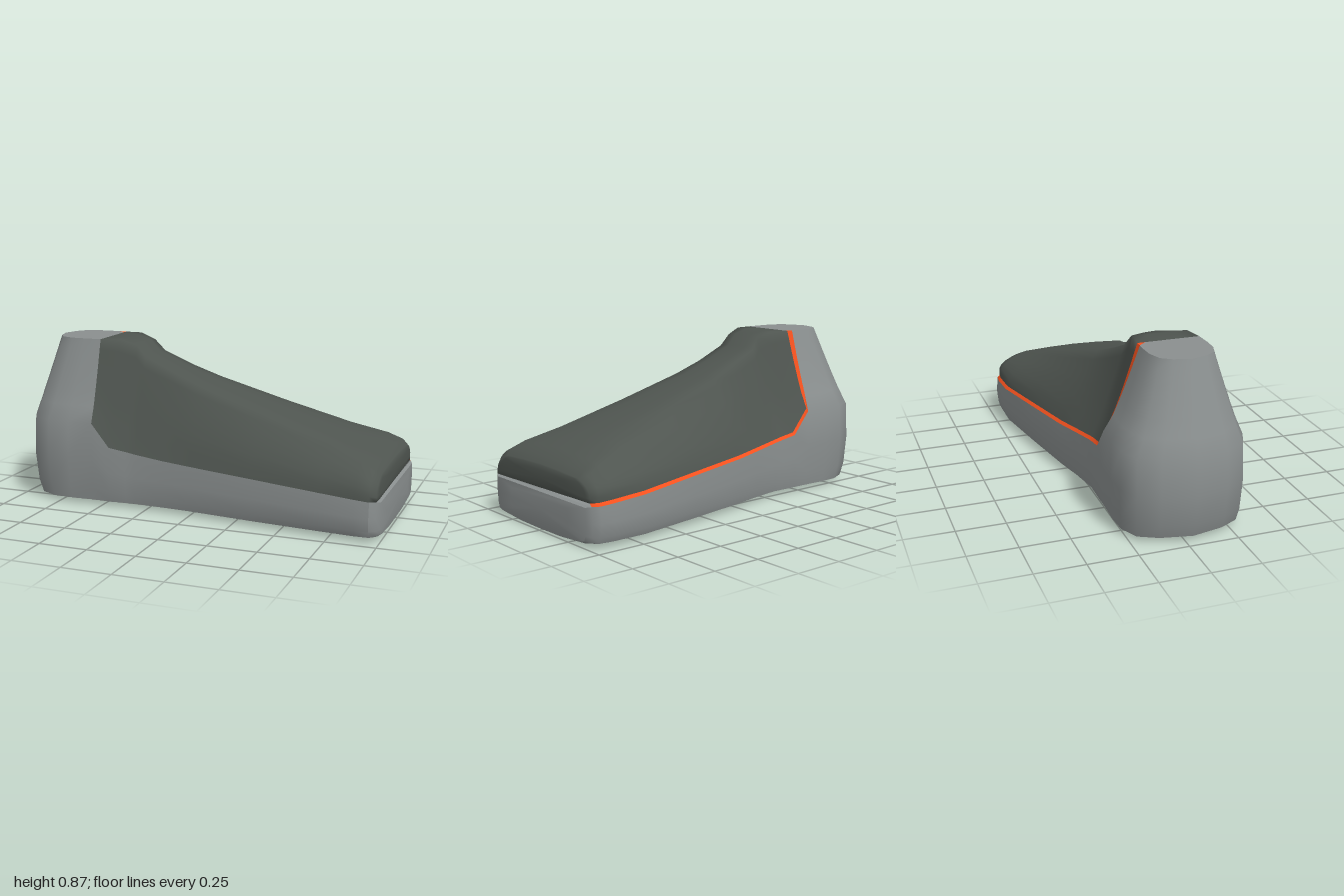
import * as THREE from 'three';
import { mergeGeometries, mergeVertices, toCreasedNormals } from 'three/addons/utils/BufferGeometryUtils.js';

const lerp = THREE.MathUtils.lerp;

// Cross-sections from ankle to toe:
// x, seam height, top height, seam z (+ and -), top edge z (+ and -), roundness
const STATIONS = [
  [-0.55, 0.44, 0.865, 0.345, -0.27, 0.215, -0.10, 0.85],
  [-0.45, 0.32, 0.867, 0.35, -0.27, 0.195, -0.085, 0.85],
  [-0.36, 0.305, 0.85, 0.343, -0.268, 0.17, -0.06, 0.85],
  [-0.31, 0.295, 0.79, 0.34, -0.267, 0.18, -0.08, 0.9],
  [-0.15, 0.277, 0.72, 0.35, -0.295, 0.175, -0.09, 1],
  [0, 0.265, 0.66, 0.362, -0.33, 0.19, -0.12, 1.2],
  [0.35, 0.245, 0.55, 0.405, -0.395, 0.22, -0.16, 1.5],
  [0.7, 0.222, 0.445, 0.44, -0.455, 0.26, -0.21, 1.9],
  [0.88, 0.21, 0.39, 0.455, -0.455, 0.31, -0.28, 2.6],
  [0.95, 0.204, 0.355, 0.453, -0.445, 0.33, -0.31, 3],
  [0.978, 0.2, 0.325, 0.425, -0.415, 0.32, -0.31, 3],
];
const LEVELS = [0, 0.2, 0.38, 0.55, 0.7, 0.88, 1];               // seam to top
const SOLE = [[1, 1], [0.54, 1.015], [0.17, 1.0], [0, 0.97]];    // height fraction, width factor
const UNDER = [[0.018, 0.88], [0.004, 0.42], [0.002, 0]];        // height, width factor
const SOLE_EDGE = 0.027;

// Surface through rows of equally many points
function grid(rows) {
  const n = rows[0].length, index = [];
  for (let i = 0; i < rows.length - 1; i++)
    for (let j = 0; j < n - 1; j++) {
      const a = i * n + j, b = a + n;
      index.push(a, b, a + 1, a + 1, b, b + 1);
    }
  const g = new THREE.BufferGeometry();
  g.setAttribute('position', new THREE.Float32BufferAttribute(rows.flat(2), 3));
  g.setIndex(index);
  return g;
}

// Softly inset end cap at the toe
function toeCap(ring, cx, cy) {
  const loop = [...ring, ring[0]];
  const scaled = (s, x) => loop.map(([, y, z]) => [x, lerp(cy, y, s), z * s]);
  return grid([loop, scaled(0.93, cx - 0.006), scaled(0.6, cx), scaled(0, cx)]);
}

const sideZ = (s, t, front) => lerp(s[front ? 3 : 4], s[front ? 5 : 6], Math.pow(t, s[7]));

// Upper arch of a section, from the +z seam over the top to the -z seam
function upperRing(s) {
  const [x, seam, top] = s;
  const crown = x > -0.4 ? 0.012 : 0;
  const y = t => lerp(seam, top - crown, t);
  const front = LEVELS.map(t => [x, y(t), sideZ(s, t, true)]);
  const back = LEVELS.map(t => [x, y(t) + 0.014 * (1 - t), sideZ(s, t, false) + 0.014 * (1 - t)]);
  const mid = [0.25, 0.5, 0.75].map(k => [x, top - crown * Math.abs(2 * k - 1) * 0.6, lerp(s[5], s[6], k)]);
  return [...front, ...mid, ...back.reverse()];
}

// Lower half of a section, from the -z seam under the foot to the +z seam
function soleRing(s) {
  const [x, seam, , zf, zb] = s, c = (zf + zb) / 2;
  const side = z => [
    ...SOLE.map(([f, k]) => [x, lerp(SOLE_EDGE, seam, f), c + (z - c) * k]),
    ...UNDER.map(([y, k]) => [x, y, c + (z - c) * k]),
  ];
  return [...side(zb), ...side(zf).reverse().slice(1)];
}

// Heel: stacked U-shaped outlines, matching the first section
function heelRows() {
  const s = STATIONS[0], [x0, seam, top] = s;
  const half = [[0, 1], [0.3, 1.02], [0.57, 1.0], [0.8, 0.85], [0.92, 0.53], [1, 0]];
  const outline = [...half, ...half.slice(0, -1).reverse().map(([u, v]) => [u, -v])];
  const row = (y, zf, zb, len, gap = 0) => outline.map(([u, v], j) => [
    x0 - len * u - (j === outline.length - 1 ? gap : 0), y, (zf + zb) / 2 + v * (zf - zb) / 2]);
  const c = (s[3] + s[4]) / 2, w = (s[3] - s[4]) / 2;
  const rows = [...UNDER].reverse().map(([y, k]) => row(y, c + w * k, c - w * k, 0.40 * k));
  const lens = [0.44, 0.45, 0.43, 0.405];
  for (let i = 3; i > 0; i--) {
    const [f, k] = SOLE[i];
    rows.push(row(lerp(SOLE_EDGE, seam, f), c + w * k, c - w * k, lens[i]));
  }
  for (const t of LEVELS)
    rows.push(row(lerp(seam, top, t), sideZ(s, t, true), sideZ(s, t, false), 0.44 - 0.15 * t, t ? 0.012 + 0.024 * t : 0));
  rows.push(outline.map(() => [x0, top, -0.06]));                // flat ankle top
  return rows;
}

export function createModel() {
  const group = new THREE.Group();
  const add = (name, geometry, color) => {
    const mesh = new THREE.Mesh(geometry, new THREE.MeshStandardMaterial({ color, side: THREE.DoubleSide }));
    mesh.name = name;
    group.add(mesh);
  };
  const uppers = STATIONS.map(upperRing), soles = STATIONS.map(soleRing), heel = heelRows();
  const last = STATIONS.length - 1;

  // Heel and sole shell
  const shell = mergeGeometries([grid(heel), grid(soles), toeCap(soles[last], 1, 0.11)]);
  add('heelAndSole', toCreasedNormals(shell, 0.75), 0x8a8f8f);

  // Dark instep and toe cover
  const cover = mergeVertices(mergeGeometries([grid(uppers), toeCap(uppers[last], 0.99, 0.26)]), 1e-4);
  cover.computeVertexNormals();
  add('instepCover', cover, 0x4f5550);

  // Bright seam along the -z side: lengthwise strip, then up the ankle
  const lengthwise = grid([uppers.map(r => r[r.length - 1]), soles.map(r => r[0])]);
  const coverEdge = uppers[0].slice(-LEVELS.length).reverse();
  const heelEdge = heel.slice(-LEVELS.length - 1, -1).map(r => r[r.length - 1]);
  const tip = [-0.55, 0.865, -0.06];
  const upright = grid([[...heelEdge, tip], [...coverEdge, tip]]);
  add('seamStrip', toCreasedNormals(mergeGeometries([lengthwise, upright]), 0.6), 0xf4511e);
  return group;
}
